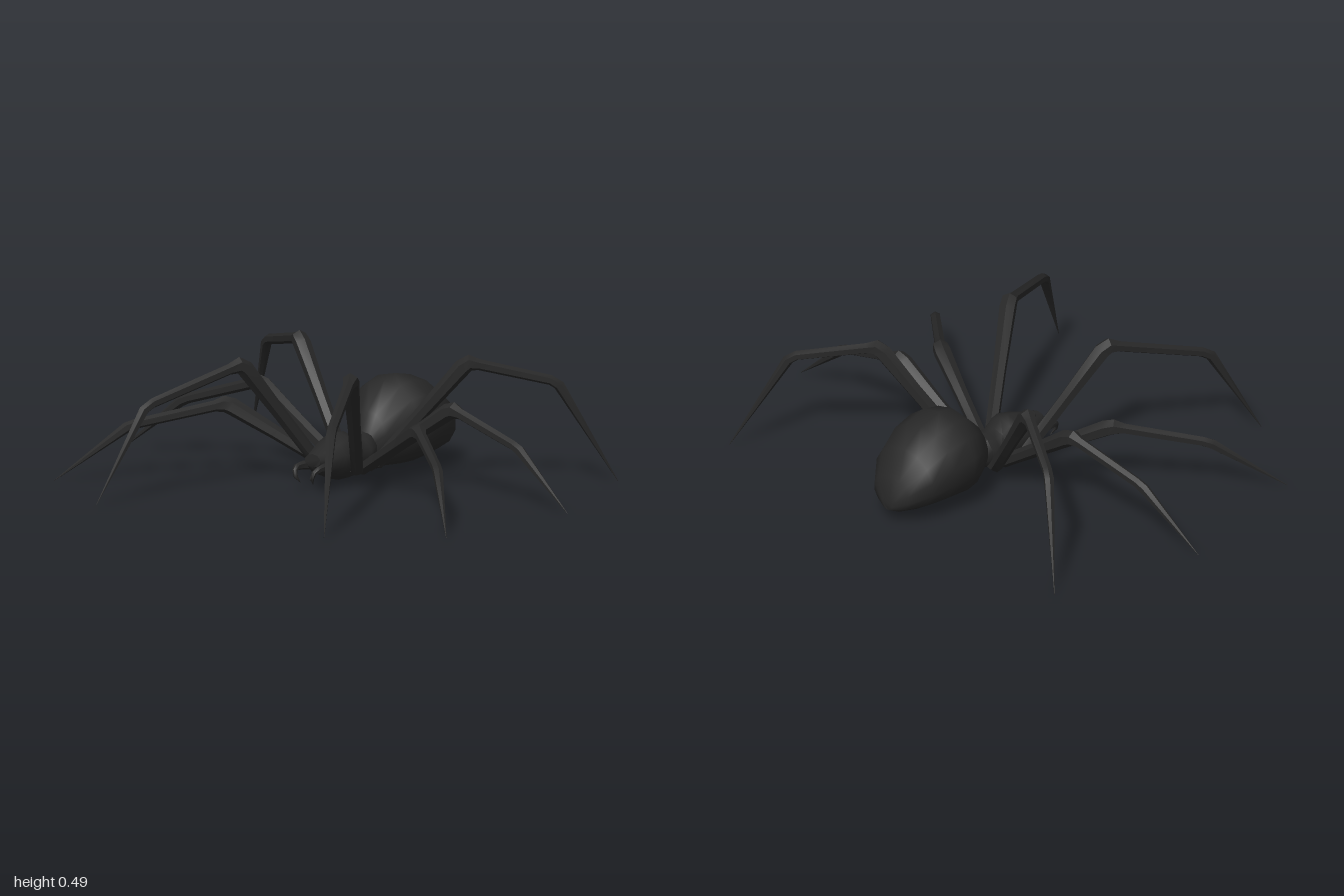
import * as THREE from 'three';
import { mergeVertices, toCreasedNormals } from 'three/addons/utils/BufferGeometryUtils.js';

const V = (x, y, z) => new THREE.Vector3(x, y, z);

// Closed skin over rings of points; each ring runs counterclockwise about the travel direction.
function loft(rings, crease) {
  const n = rings[0].length;
  const pos = rings.flat().flatMap((p) => [p.x, p.y, p.z]);
  const idx = [];
  for (let i = 0; i < rings.length - 1; i++) {
    for (let j = 0; j < n; j++) {
      const a = i * n + j, b = i * n + (j + 1) % n;
      idx.push(a, b, a + n, b, b + n, a + n);
    }
  }
  const last = (rings.length - 1) * n;
  for (let j = 1; j < n - 1; j++) {
    idx.push(0, j + 1, j, last, last + j, last + j + 1);
  }
  const g = new THREE.BufferGeometry();
  g.setAttribute('position', new THREE.Float32BufferAttribute(pos, 3));
  g.setIndex(idx);
  return toCreasedNormals(mergeVertices(g), crease);
}

function ring(c, u, v, ru, rv, n) {
  return Array.from({ length: n }, (_, j) => {
    const a = ((j + 0.5) / n) * Math.PI * 2;
    return c.clone().addScaledVector(u, Math.cos(a) * ru).addScaledVector(v, Math.sin(a) * rv);
  });
}

// Body section from rows of [z, top, bottom, half width], back to front.
function bodyLoft(rows, n) {
  return loft(rows.map(([z, top, bottom, w]) =>
    ring(V(0, (top + bottom) / 2, z), V(1, 0, 0), V(0, 1, 0), w * 1.02, (top - bottom) / 2 * 1.03, n)), 0.9);
}

// Tapered limb along points with one radius each, bending about the sideways axis.
function limb(points, radii, side, n, crease) {
  return loft(points.map((p, i) => {
    const t = points[Math.min(i + 1, points.length - 1)].clone()
      .sub(points[Math.max(i - 1, 0)]).normalize();
    const u = side.clone().addScaledVector(t, -side.dot(t)).normalize();
    const v = t.clone().cross(u);
    return ring(p, u, v, radii[i], radii[i], n);
  }), crease);
}

// Hip, knee, ankle and tip of each left leg, front to back.
const LEGS = {
  frontLeg: [[0.085, 0.06, -0.09], [0.245, 0.465, 0.18], [0.415, 0.35, 0.55], [0.51, 0, 0.73]],
  secondLeg: [[0.085, 0.06, -0.13], [0.43, 0.265, 0.01], [0.69, 0.195, 0.26], [0.88, 0, 0.475]],
  thirdLeg: [[0.07, 0.06, -0.185], [0.43, 0.31, -0.205], [0.75, 0.21, -0.167], [1, 0, -0.13]],
  backLeg: [[0.075, 0.06, -0.23], [0.375, 0.45, -0.38], [0.65, 0.38, -0.56], [0.82, 0, -0.71]],
};

function legGeometry(joints, s) {
  const [hip, knee, ankle, tip] = joints.map(([x, y, z]) => V(x * s, y, z));
  const flat = tip.clone().sub(hip).setY(0).normalize();
  const side = V(-flat.z, 0, flat.x);
  const at = (a, b, k) => a.clone().lerp(b, k);
  const inner = V(hip.x * 0.3, hip.y, hip.z * 0.8 - 0.03);
  const points = [inner, hip, at(hip, knee, 0.5), at(hip, knee, 0.95), at(knee, ankle, 0.03),
    at(knee, ankle, 0.13), at(knee, ankle, 0.93), at(ankle, tip, 0.04), at(ankle, tip, 0.5), tip];
  const radii = [0.025, 0.025, 0.026, 0.033, 0.031, 0.021, 0.019, 0.02, 0.011, 0.001];
  return limb(points, radii, side, 6, 0.6);
}

export function createModel() {
  const model = new THREE.Group();
  const black = new THREE.MeshStandardMaterial({ color: 0x272727 });
  black.name = 'black';
  const add = (name, geometry) => {
    const m = new THREE.Mesh(geometry, black);
    m.name = name;
    model.add(m);
  };

  // Large rear body, steep at the tail and flat underneath
  add('abdomen', bodyLoft([
    [-0.735, 0.1, 0.055, 0.025], [-0.712, 0.18, 0.045, 0.085], [-0.64, 0.265, 0.035, 0.142],
    [-0.55, 0.325, 0.026, 0.168], [-0.455, 0.345, 0.02, 0.18], [-0.385, 0.333, 0.02, 0.158],
    [-0.28, 0.235, 0.03, 0.08], [-0.235, 0.165, 0.045, 0.04],
  ], 14));

  // Front body, pinched behind and narrowing to the head
  add('thorax', bodyLoft([
    [-0.27, 0.15, 0.05, 0.05], [-0.24, 0.17, 0.035, 0.07], [-0.2, 0.157, 0.028, 0.075],
    [-0.16, 0.16, 0.02, 0.07], [-0.125, 0.187, 0.015, 0.075], [-0.09, 0.19, 0.015, 0.085],
    [-0.03, 0.172, 0.03, 0.08], [0.035, 0.147, 0.055, 0.055], [0.075, 0.137, 0.088, 0.035],
  ], 10));

  for (const s of [1, -1]) {
    const prefix = s > 0 ? 'left ' : 'right ';
    for (const [name, joints] of Object.entries(LEGS)) add(prefix + name, legGeometry(joints, s));

    // Curved fang below the head
    const path = [[0.035, 0.085, 0.02], [0.047, 0.09, 0.07], [0.049, 0.09, 0.105],
      [0.043, 0.08, 0.127], [0.036, 0.058, 0.131], [0.028, 0.034, 0.112]];
    add(prefix + 'fang', limb(path.map(([x, y, z]) => V(x * s, y, z)),
      [0.018, 0.017, 0.013, 0.01, 0.008, 0.001], V(1, 0, 0), 6, 0.9));
  }
  return model;
}
